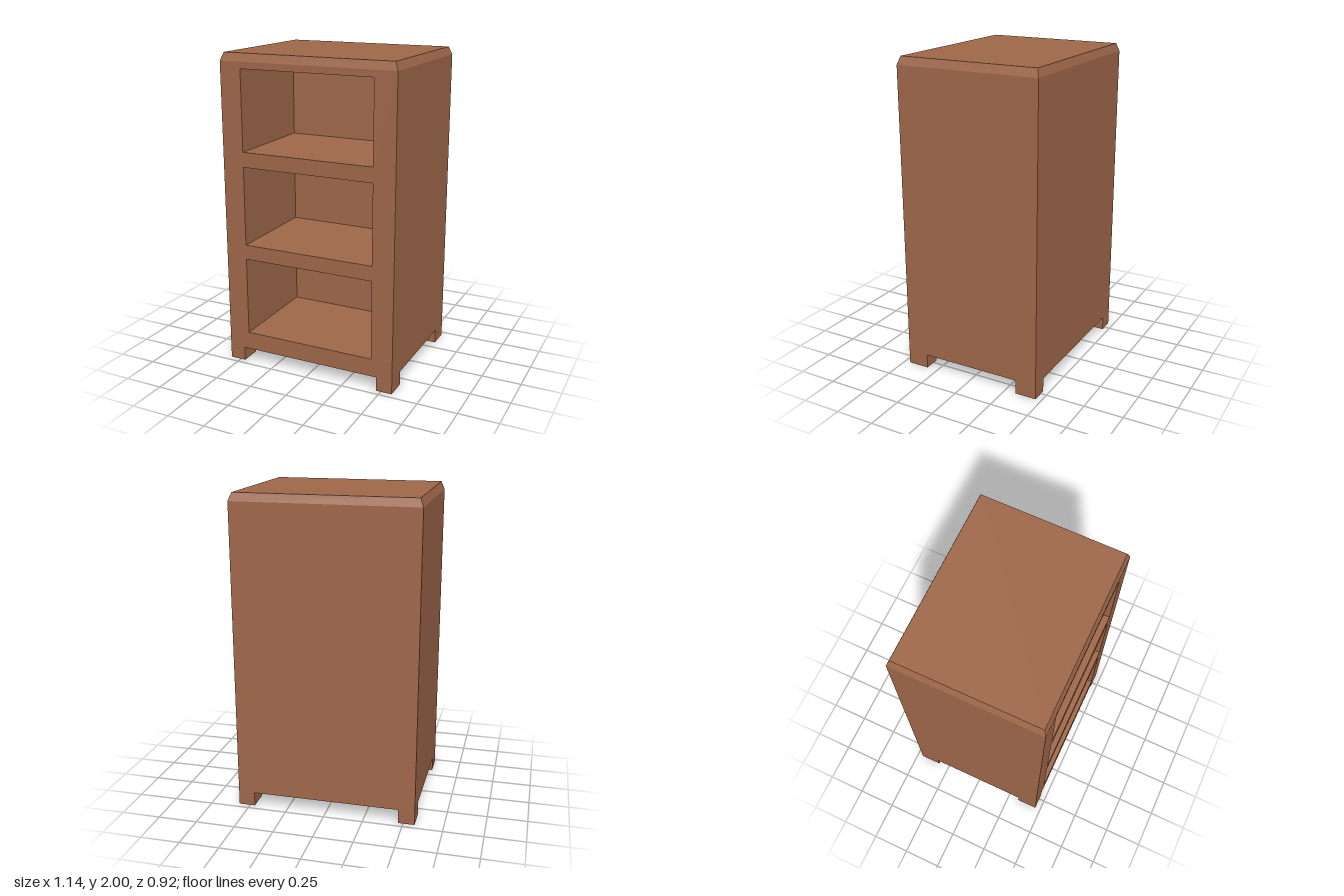
import * as THREE from 'three';

const W = 0.572, D = 0.462;            // half width, half depth
const BASE = 0.09, SHOULDER = 1.95, TOP = 2;
const INSET_X = 0.02, INSET_Z = 0.016;
const NICHE_W = 0.432, NICHE_BACK = D - 0.65;
const NICHES = [[0.205, 0.71], [0.805, 1.308], [1.403, 1.908]];
const LEG_W = 0.104, LEG_D = 0.137;

// Flat-shaded geometry from four-cornered faces, corners counter-clockwise
function quads(faces) {
  const pos = [];
  for (const [a, b, c, d] of faces) pos.push(...a, ...b, ...c, ...a, ...c, ...d);
  const g = new THREE.BufferGeometry();
  g.setAttribute('position', new THREE.Float32BufferAttribute(pos, 3));
  g.computeVertexNormals();
  return g;
}

// Rectangle ring at height y, counter-clockwise seen from above
const ring = (x, z, y) => [[-x, y, z], [x, y, z], [x, y, -z], [-x, y, -z]];

// Walls joining a lower ring to an upper one
const walls = (lo, hi) => lo.map((p, i) => {
  const j = (i + 1) % 4;
  return [p, lo[j], hi[j], hi[i]];
});

export function createModel() {
  const group = new THREE.Group();
  const wood = new THREE.MeshStandardMaterial({ color: 0xa0684a });
  wood.name = 'brown wood';
  const add = (name, geometry) => {
    const mesh = new THREE.Mesh(geometry, wood);
    mesh.name = name;
    group.add(mesh);
    return mesh;
  };

  // Cabinet sides and back (the front wall is made separately)
  const low = ring(W, D, BASE), mid = ring(W, D, SHOULDER);
  const high = ring(W - INSET_X, D - INSET_Z, TOP);
  add('sidesAndBack', quads(walls(low, mid).slice(1)));
  add('underside', quads([[...low].reverse()]));

  // Bevelled top
  add('bevelledTop', quads([...walls(mid, high), high]));

  // Front frame with three openings
  const frame = new THREE.Shape([[-W, BASE], [W, BASE], [W, SHOULDER], [-W, SHOULDER]]
    .map(p => new THREE.Vector2(...p)));
  for (const [y0, y1] of NICHES) {
    frame.holes.push(new THREE.Path([[-NICHE_W, y0], [-NICHE_W, y1], [NICHE_W, y1], [NICHE_W, y0]]
      .map(p => new THREE.Vector2(...p))));
  }
  add('frontFrame', new THREE.ShapeGeometry(frame)).position.z = D;

  // Open compartments: floor, ceiling, two sides and a back
  NICHES.forEach(([y0, y1], i) => {
    const at = z => [[-NICHE_W, y0, z], [NICHE_W, y0, z], [NICHE_W, y1, z], [-NICHE_W, y1, z]];
    const front = at(D), back = at(NICHE_BACK);
    add('compartment' + (i + 1), quads([...walls(front, back), back]));
  });

  // Corner legs, open where they meet the underside
  for (const sx of [-1, 1]) {
    for (const sz of [-1, 1]) {
      const g = new THREE.BoxGeometry(LEG_W, BASE, LEG_D);
      const index = Array.from(g.index.array);
      index.splice(12, 6);
      g.setIndex(index);
      g.clearGroups();
      const leg = add((sz > 0 ? 'front' : 'back') + (sx > 0 ? 'Left' : 'Right') + 'Leg', g);
      leg.position.set(sx * (W - LEG_W / 2), BASE / 2, sz * (D - LEG_D / 2));
    }
  }
  return group;
}
